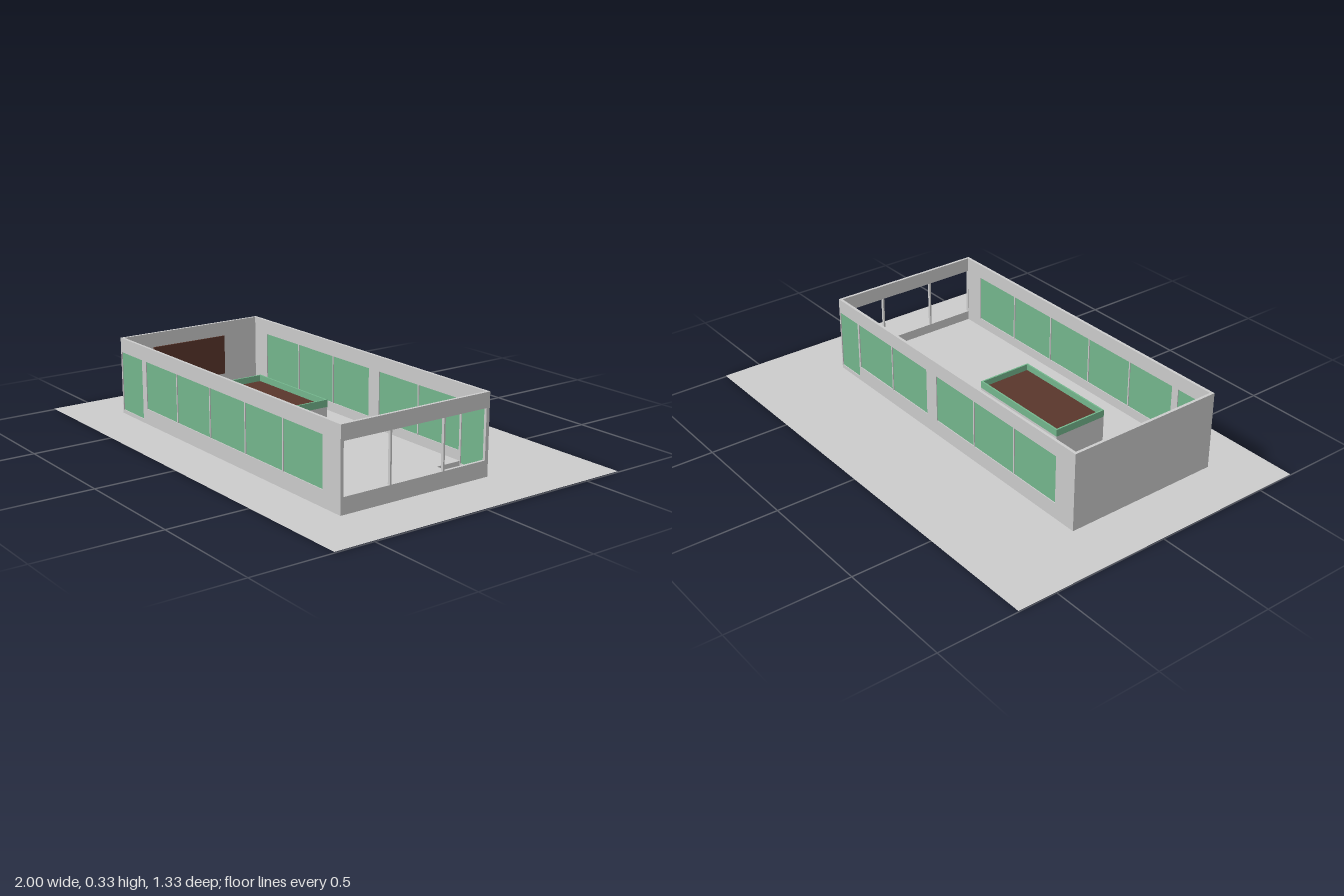
import * as THREE from 'three';

const grey = new THREE.MeshStandardMaterial({ color: 0xcccccc, flatShading: true });
const ground2 = new THREE.MeshStandardMaterial({ color: 0xcccccc, side: THREE.DoubleSide });
const green = new THREE.MeshStandardMaterial({ color: 0x74b68d });
const brown = new THREE.MeshStandardMaterial({ color: 0x59362c });

// Building extents
const X0 = -0.77, X1 = 0.755, Z0 = -0.23, Z1 = 0.455, H = 0.333, T = 0.012;
const SILL = 0.07, HEAD = 0.272, DOOR_SILL = 0.02, PANE = 0.244, FLOOR = 0.03;

// Box given by its min and max on each axis
function box(name, mat, x0, x1, y0, y1, z0, z1) {
  const m = new THREE.Mesh(new THREE.BoxGeometry(x1 - x0, y1 - y0, z1 - z0), mat);
  m.position.set((x0 + x1) / 2, (y0 + y1) / 2, (z0 + z1) / 2);
  m.name = name;
  return m;
}

function polygon(points) {
  return new THREE.Shape(points.map(([a, b]) => new THREE.Vector2(a, b)));
}

// Upright wall from a to b with rectangular openings [a0, a1, y0, y1]
function wallGeometry(a, b, openings) {
  const s = polygon([[a, 0], [b, 0], [b, H], [a, H]]);
  for (const [p, q, r, t] of openings) {
    s.holes.push(polygon([[p, r], [p, t], [q, t], [q, r]]));
  }
  return new THREE.ExtrudeGeometry(s, { depth: T, bevelEnabled: false });
}

// Row of equal panes starting at x, separated by thin mullions
function paneRow(x, count) {
  return Array.from({ length: count }, (_, i) =>
    [x + i * PANE + 0.003, x + (i + 1) * PANE - 0.003, SILL, HEAD]);
}

// Long wall along x, with glass in every opening
function glazedWall(name, z, openings) {
  const g = new THREE.Group();
  g.name = name;
  const wall = new THREE.Mesh(wallGeometry(X0, X1, openings), grey);
  wall.position.z = z;
  wall.name = name + 'Panel';
  g.add(wall);
  for (const [p, q, r, t] of openings) {
    const kind = r === DOOR_SILL ? 'glassDoor' : 'windowPane';
    g.add(box(kind, green, p, q, r, t, z + T * 0.3, z + T * 0.7));
  }
  return g;
}

export function createModel() {
  const model = new THREE.Group();
  model.name = 'pavilion';

  // Ground sheet
  const ground = new THREE.Mesh(new THREE.PlaneGeometry(2, 1.333).rotateX(-Math.PI / 2), ground2);
  ground.position.y = 0.004;
  ground.name = 'ground';
  model.add(ground);

  // Raised floor, notched at the two entrance corners
  const a = X0 + T, b = X1 - T, c = Z0 + T, d = Z1 - T;
  const floorShape = polygon([
    [a, c], [0.615, c], [0.615, -0.105], [b, -0.105],
    [b, d], [-0.59, d], [-0.59, 0.31], [a, 0.31],
  ]);
  const floorGeo = new THREE.ExtrudeGeometry(floorShape, { depth: FLOOR - 0.006, bevelEnabled: false });
  floorGeo.rotateX(Math.PI / 2);
  const floor = new THREE.Mesh(floorGeo, grey);
  floor.position.y = FLOOR;
  floor.name = 'floor';
  model.add(floor);

  // Long walls
  model.add(glazedWall('frontWall', Z1 - T,
    [[-0.763, -0.595, DOOR_SILL, HEAD], ...paneRow(-0.565, 5)]));
  model.add(glazedWall('backWall', Z0,
    [...paneRow(-0.67, 3), ...paneRow(0.122, 2), [0.617, 0.749, DOOR_SILL, HEAD]]));

  // Solid end wall with a dark board
  model.add(box('rightEndWall', grey, X0, X0 + T, 0, H, c, d));
  model.add(box('wallBoard', brown, X0 + T, X0 + T + 0.006, 0.1, 0.272, -0.05, 0.305));

  // End wall with three unglazed openings
  const endGeo = wallGeometry(-d, -c, [
    [-0.442, -0.237, SILL, HEAD], [-0.23, 0.01, SILL, HEAD], [0.017, 0.215, SILL, HEAD],
  ]);
  endGeo.rotateY(Math.PI / 2);
  const end = new THREE.Mesh(endGeo, grey);
  end.position.x = X1 - T;
  end.name = 'leftEndWall';
  model.add(end);

  // Table: body, sunken top and raised rim
  const table = new THREE.Group();
  table.name = 'table';
  const [p, q, r, s] = [-0.415, 0.055, -0.012, 0.228];
  const y0 = 0.145, y1 = 0.175, w = 0.007;
  table.add(box('tableBody', grey, p, q, FLOOR, y0, r, s));
  table.add(box('tableTop', brown, p + w, q - w, y0, y0 + 0.004, r + w, s - w));
  for (const x of [p, q - w]) table.add(box('tableEndRim', green, x, x + w, y0, y1, r, s));
  for (const z of [r, s - w]) table.add(box('tableSideRim', green, p + w, q - w, y0, y1, z, z + w));
  model.add(table);

  return model;
}
